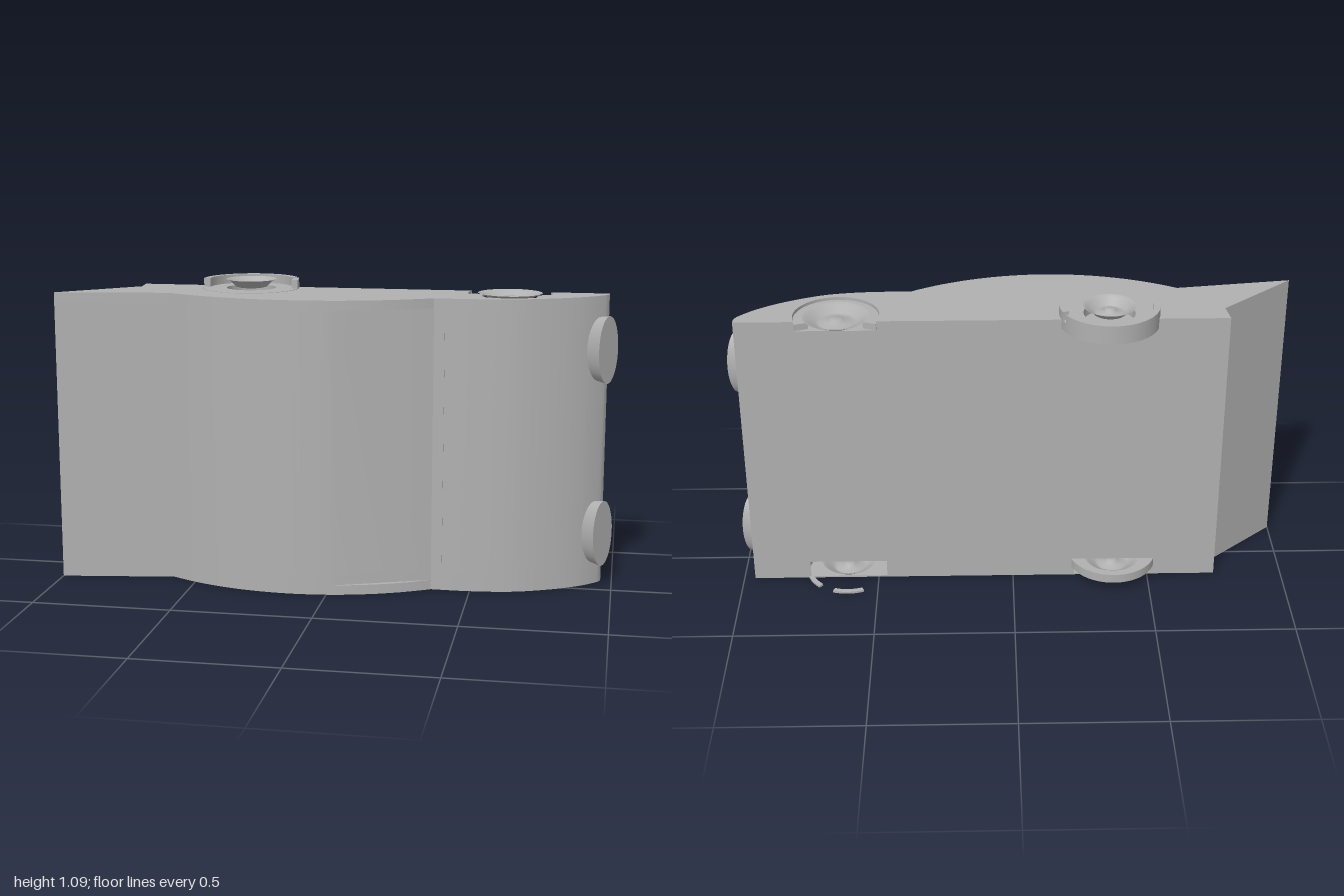
import * as THREE from 'three';
import { toCreasedNormals } from 'three/addons/utils/BufferGeometryUtils.js';

const BACK = -0.14, WHEEL_Z = -0.09;
const REAR = { x: -0.335, r: 0.175 }, FRONT = { x: 0.61, r: 0.15 };

// Shapes are drawn in (x, -z) and raised along y
function raise(shape, y0, y1) {
  const g = new THREE.ExtrudeGeometry(shape, { depth: y1 - y0, bevelEnabled: false, curveSegments: 40 });
  g.rotateX(-Math.PI / 2);
  g.translate(0, y0, 0);
  return toCreasedNormals(g, 0.4);
}

// Side profile; optional wheel bites and a flat windscreen chord
function profile(bites, flatScreen) {
  const s = new THREE.Shape();
  s.moveTo(-0.75, -BACK);
  for (const w of bites) {
    const a = Math.asin((WHEEL_Z - BACK) / w.r);
    s.lineTo(w.x - w.r * Math.cos(a), -BACK);
    s.absarc(w.x, -WHEEL_Z, w.r, Math.PI - a, 2 * Math.PI + a, false);
  }
  s.lineTo(0.96, -BACK);
  s.lineTo(0.96, 0.12);
  s.splineThru([[0.945, 0.09], [0.88, 0.03], [0.78, -0.03], [0.65, -0.08], [0.5, -0.1], [0.36, -0.1]]
    .map(p => new THREE.Vector2(...p)));
  const n = 40;
  for (let i = 0; i <= n; i++) { // roof arch
    const x = 0.36 - 0.95 * i / n;
    if (flatScreen && i > 0 && x > 0.05) continue;
    s.lineTo(x, 0.67 - Math.sqrt(0.91 ** 2 - (x + 0.125) ** 2));
  }
  s.lineTo(-1, -0.17);
  s.lineTo(-0.74, 0.06);
  s.closePath();
  return s;
}

// Part of a ring between two angles, with 90 degrees pointing to the back
function ringPart(x, ri, ro, from, to, y0, y1) {
  const a = THREE.MathUtils.degToRad(from), b = THREE.MathUtils.degToRad(to);
  const s = new THREE.Shape();
  s.absarc(x, -WHEEL_Z, ro, a, b, false);
  s.absarc(x, -WHEEL_Z, ri, b, a, true);
  s.closePath();
  return raise(s, y0, y1);
}

export function createModel() {
  const model = new THREE.Group();
  const grey = new THREE.MeshStandardMaterial({ color: 0xb0b0b0 });
  const greyOpen = new THREE.MeshStandardMaterial({ color: 0xb0b0b0, side: THREE.DoubleSide });
  grey.name = 'grey';
  greyOpen.name = 'greyOpen';
  const add = (name, geo, mat = grey, parent = model) => {
    const m = new THREE.Mesh(geo, mat);
    m.name = name;
    parent.add(m);
    return m;
  };

  // Body in layers, with wheel wells open at the back
  const wells = [REAR, FRONT], lowWells = [{ x: -0.37, r: 0.15 }, { x: 0.61, r: 0.15 }];
  add('lowerSidePanel', raise(profile([], false), 0, 0.006));
  add('lowerSide', raise(profile(lowWells, false), 0.006, 0.035));
  add('lowerWellLayer', raise(profile(lowWells, true), 0.035, 0.07));
  add('bodyCentre', raise(profile([], true), 0.07, 1.02));
  add('upperSide', raise(profile(wells, false), 1.02, 1.055));

  // Thin seam at the foot of the windscreen
  const seam = add('windscreenSeam', new THREE.BoxGeometry(0.012, 0.98, 0.008));
  seam.position.set(0.393, 0.53, 0.1);

  // Headlights
  for (const y of [0.195, 0.865]) {
    const g = new THREE.CylinderGeometry(1, 0.92, 0.06, 40);
    g.rotateZ(-Math.PI / 2);
    g.scale(1, 0.121, 0.06);
    g.rotateY(-0.57);
    add('headlight', g).position.set(0.938, y, -0.071);
  }

  // Stepped hub turned around the wheel axis
  const hub = (name, x, r, y, h) => {
    const pts = [[0, 0.6], [0.18, 0.6], [0.2, 0.3], [0.38, 0.25], [0.5, 0], [0.62, 0.1], [0.85, 0.8], [1, 1]];
    const m = add(name, new THREE.LatheGeometry(pts.map(p => new THREE.Vector2(p[0] * r, p[1] * h)), 40), greyOpen);
    m.position.set(x, y, WHEEL_Z - 0.005);
  };

  // Upper rear wheel: flush sidewall, raised half tyre and hub
  add('rearWheelFace', ringPart(REAR.x, 0.09, 0.174, 0, 359.9, 1.021, 1.056));
  add('rearTyre', ringPart(REAR.x, 0.152, 0.175, 28, 184, 1.02, 1.088));
  add('rearTyre', ringPart(REAR.x, 0.152, 0.175, -4, 20, 1.02, 1.088));
  hub('rearHub', REAR.x, 0.092, 1.057, 0.03);

  // Upper front wheel, set into its well
  add('frontWheelFace', ringPart(FRONT.x, 0.1, 0.149, 160, 380, 1.021, 1.045));
  hub('frontHub', FRONT.x, 0.115, 1.03, 0.026);

  // Lower wheels
  add('lowerRearTyre', ringPart(-0.37, 0.13, 0.16, 12, 172, 0.036, 0.07));
  hub('lowerRearHub', -0.37, 0.1, 0.02, 0.03);
  hub('lowerFrontHub', FRONT.x, 0.1, 0.02, 0.03);
  for (const [from, to] of [[70, 112], [20, 48]])
    add('lowerFrontTyre', ringPart(FRONT.x, 0.14, 0.158, from, to, 0, 0.008));

  return model;
}
